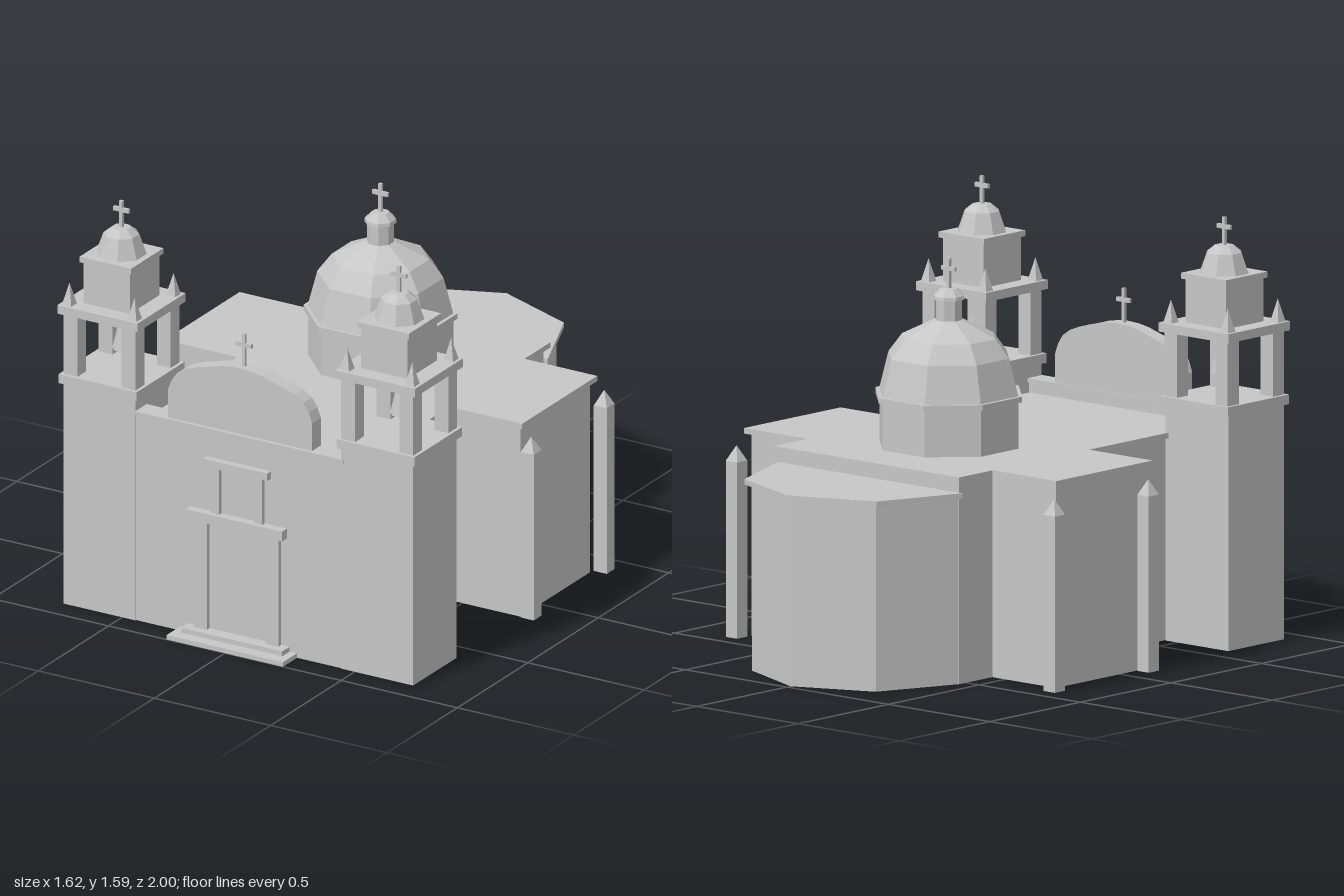
import * as THREE from 'three';

const stone = new THREE.MeshStandardMaterial({ color: 0xc6c6c6, flatShading: true, side: THREE.DoubleSide });
stone.name = 'grey stone';

function add(parent, name, geo, x = 0, y = 0, z = 0) {
  const mesh = new THREE.Mesh(geo, stone);
  mesh.name = name;
  mesh.position.set(x, y, z);
  parent.add(mesh);
  return mesh;
}

// Box given by its limits on each axis
function block(parent, name, x0, x1, y0, y1, z0, z1) {
  return add(parent, name, new THREE.BoxGeometry(x1 - x0, y1 - y0, z1 - z0),
    (x0 + x1) / 2, (y0 + y1) / 2, (z0 + z1) / 2);
}

// Upright prism over a plan of [x, z] points; open ones have no floor
function prism(parent, name, plan, y0, y1, open = false) {
  const shape = new THREE.Shape(plan.map(([x, z]) => new THREE.Vector2(x, -z)));
  let geo = new THREE.ExtrudeGeometry(shape, { depth: y1 - y0, bevelEnabled: false });
  geo.rotateX(-Math.PI / 2);
  if (open) {
    const p = (geo.index ? geo.toNonIndexed() : geo).attributes.position;
    const kept = [];
    for (let i = 0; i < p.count; i += 3) {
      if (Math.max(p.getY(i), p.getY(i + 1), p.getY(i + 2)) < 1e-4) continue;
      for (let k = i; k < i + 3; k++) kept.push(p.getX(k), p.getY(k), p.getZ(k));
    }
    geo = new THREE.BufferGeometry();
    geo.setAttribute('position', new THREE.Float32BufferAttribute(kept, 3));
    geo.computeVertexNormals();
  }
  return add(parent, name, geo, 0, y0, 0);
}

// Eight-sided turned form; the profile lists [half width across flats, y]
function octagon(parent, name, profile, x, z) {
  const k = 1 / Math.cos(Math.PI / 8);
  const geo = new THREE.LatheGeometry(profile.map(([r, y]) => new THREE.Vector2(r * k, y)), 8, Math.PI / 8);
  return add(parent, name, geo, x, 0, z);
}

function pyramid(parent, name, half, y0, y1, x, z) {
  const geo = new THREE.ConeGeometry(half * Math.SQRT2, y1 - y0, 4);
  geo.rotateY(Math.PI / 4);
  return add(parent, name, geo, x, (y0 + y1) / 2, z);
}

function cross(parent, x, y, z, height) {
  const g = new THREE.Group();
  g.name = 'cross';
  const bar = y + height * 0.66;
  block(g, 'crossPost', x - 0.007, x + 0.007, y - 0.01, y + height, z - 0.006, z + 0.006);
  block(g, 'crossBar', x - 0.033, x + 0.033, bar - 0.008, bar + 0.008, z - 0.006, z + 0.006);
  parent.add(g);
}

// Cross-shaped plan of nave and transept, widened by e
function cruciform(e) {
  const n = 0.437 + e, t = 0.75 + e, zf = 0.14 + e, zb = -0.355 - e, back = -0.54 - e;
  const half = [[n, 0.85], [n, zf], [t, zf], [t, zb], [n, zb], [n, back]];
  return [...half, ...half.map(([x, z]) => [-x, z]).reverse()];
}

const apsePlan = (s, e) => [[0.455 - e, -0.54 - s], [0.325 - e, -0.87 + e], [0, -1 + e],
  [-0.325 + e, -0.87 + e], [-0.455 + e, -0.54 - s]];

function tower(side) {
  const g = new THREE.Group();
  g.name = side > 0 ? 'leftTower' : 'rightTower';
  const cx = side * 0.597, cz = 0.748;
  const slab = (name, hx, hz, y0, y1) => block(g, name, cx - hx, cx + hx, y0, y1, cz - hz, cz + hz);
  prism(g, 'towerShaft', [[cx - 0.155, cz + 0.156], [cx + 0.155, cz + 0.156],
    [cx + 0.155, cz - 0.152], [cx - 0.155, cz - 0.152]], 0, 0.882, true);
  slab('belfryFloor', 0.168, 0.169, 0.881, 0.917);
  slab('belfryRoof', 0.172, 0.171, 1.158, 1.192);
  for (const dx of [-1, 1]) for (const dz of [-1, 1]) {
    const x = cx + dx * 0.125, z = cz + dz * 0.125;
    block(g, 'belfryColumn', x - 0.03, x + 0.03, 0.917, 1.158, z - 0.031, z + 0.031);
    pyramid(g, 'pinnacle', 0.02, 1.192, 1.278, cx + dx * 0.14, cz + dz * 0.138);
  }
  slab('upperStage', 0.1, 0.104, 1.192, 1.358);
  slab('upperCornice', 0.111, 0.115, 1.356, 1.378);
  octagon(g, 'towerDome', [[0.087, 1.378], [0.062, 1.455], [0.033, 1.48], [0, 1.482]], cx, cz);
  cross(g, cx, 1.48, cz, 0.105);
  // Hanging bell
  const bx = cx + 0.012;
  octagon(g, 'bell', [[0.041, 1.0], [0.02, 1.097], [0, 1.097]], bx, cz);
  block(g, 'bellRod', bx - 0.004, bx + 0.004, 1.097, 1.158, cz - 0.004, cz + 0.004);
  return g;
}

export function createModel() {
  const model = new THREE.Group();
  model.name = 'church';

  // Nave, transept and apse with their cornices
  prism(model, 'naveAndTransept', cruciform(0), 0, 0.76, true);
  prism(model, 'mainCornice', cruciform(0.019), 0.759, 0.78);
  prism(model, 'apse', apsePlan(0, 0.02), 0, 0.7, true);
  prism(model, 'apseCornice', apsePlan(0, 0), 0.698, 0.718);

  // Front wall, cap and curved gable
  prism(model, 'facade', [[-0.455, 0.9], [0.455, 0.9], [0.455, 0.835], [-0.455, 0.835]], 0, 0.822, true);
  block(model, 'facadeCap', -0.455, 0.455, 0.82, 0.835, 0.825, 0.907);
  const rim = [[0.31, 0.835], [0.31, 0.945], [0.295, 0.985], [0.272, 1.018], [0.235, 1.043], [0.19, 1.06],
    [0.15, 1.07], [0.1, 1.085], [0.05, 1.094]];
  const outline = [...rim, [0, 1.097], ...rim.map(([x, y]) => [-x, y]).reverse()];
  const gable = new THREE.Shape(outline.map(([x, y]) => new THREE.Vector2(x, y)));
  add(model, 'gable', new THREE.ExtrudeGeometry(gable, { depth: 0.062, bevelEnabled: false }), 0, 0, 0.83);
  cross(model, 0, 1.095, 0.862, 0.13);

  // Doorway and upper window frame
  for (const s of [-1, 1]) {
    const strip = (name, x, w, y0, y1, z) => block(model, name, s * x - w, s * x + w, y0, y1, 0.89, z);
    strip('doorPilaster', 0.154, 0.028, 0.037, 0.468, 0.92);
    strip('windowPilaster', 0.093, 0.018, 0.505, 0.692, 0.918);
  }
  block(model, 'doorLintel', -0.207, 0.207, 0.467, 0.506, 0.89, 0.935);
  block(model, 'windowLintel', -0.138, 0.138, 0.69, 0.72, 0.89, 0.928);
  block(model, 'lowerStep', -0.25, 0.25, 0, 0.018, 0.89, 1.0);
  block(model, 'upperStep', -0.218, 0.218, 0.018, 0.037, 0.89, 0.952);

  // Pointed buttresses along the sides
  for (const s of [-1, 1]) {
    for (const [x, z] of [[0.783, -0.4], [0.783, 0.118], [0.484, 0.38]]) {
      const w = 0.028;
      block(model, 'buttress', s * x - w, s * x + w, 0, 0.66, z - w, z + w);
      pyramid(model, 'buttressTip', w, 0.66, 0.718, s * x, z);
    }
  }

  // Crossing dome with drum, ring and lantern
  const dz = -0.105;
  octagon(model, 'drum', [[0.25, 0.775], [0.25, 0.96]], 0, dz);
  octagon(model, 'drumRing', [[0.24, 0.955], [0.264, 0.955], [0.264, 0.976], [0.24, 0.976]], 0, dz);
  octagon(model, 'mainDome', [[0.25, 0.976], [0.217, 1.115], [0.168, 1.185], [0.05, 1.248], [0, 1.248]], 0, dz);
  octagon(model, 'lantern', [[0.047, 1.24], [0.047, 1.325]], 0, dz);
  octagon(model, 'lanternCap', [[0.04, 1.322], [0.056, 1.325], [0.054, 1.338], [0.03, 1.364], [0, 1.366]], 0, dz);
  cross(model, 0, 1.365, dz, 0.112);

  // Bell towers
  for (const side of [1, -1]) model.add(tower(side));
  return model;
}
